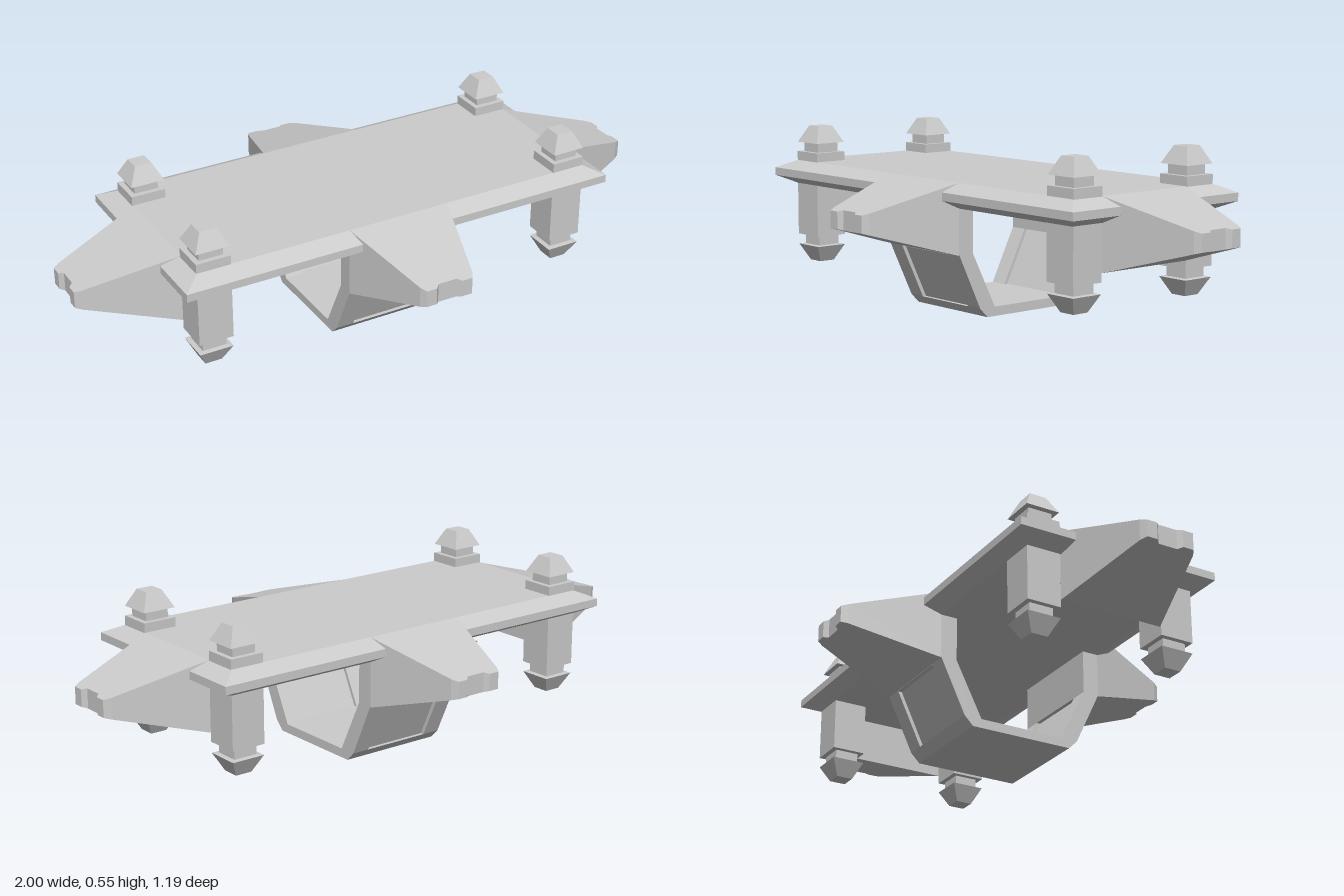
import * as THREE from 'three';

const material = new THREE.MeshStandardMaterial({ color: 0xcccccc, flatShading: true });

function addMesh(parent, name, geometry) {
  const mesh = new THREE.Mesh(geometry, material);
  mesh.name = name;
  parent.add(mesh);
  return mesh;
}

// Stack of rectangular rings [halfX, halfZ, y], from bottom to top, capped at both ends
function rectLoft(rings) {
  const positions = [];
  const index = [];
  for (const [hx, hz, y] of rings) {
    positions.push(-hx, y, hz, hx, y, hz, hx, y, -hz, -hx, y, -hz);
  }
  for (let r = 0; r < rings.length - 1; r++) {
    for (let i = 0; i < 4; i++) {
      const a = r * 4 + i;
      const b = r * 4 + ((i + 1) % 4);
      index.push(a, b, b + 4, a, b + 4, a + 4);
    }
  }
  const t = (rings.length - 1) * 4;
  index.push(0, 2, 1, 0, 3, 2, t, t + 1, t + 2, t, t + 2, t + 3);
  const indexed = new THREE.BufferGeometry();
  indexed.setAttribute('position', new THREE.Float32BufferAttribute(positions, 3));
  indexed.setIndex(index);
  const geometry = indexed.toNonIndexed();
  geometry.computeVertexNormals();
  return geometry;
}

// Outline given for one half only, closed by its mirror image
function mirroredShape(half) {
  const points = half.map(([x, y]) => new THREE.Vector2(x, y));
  const mirrored = half.map(([x, y]) => new THREE.Vector2(-x, y)).reverse();
  return new THREE.Shape([...points, ...mirrored]);
}

// Tapering arm pointing along +z, with a notched tip
function armGeometry(length) {
  const shape = mirroredShape([
    [0.175, 0], [0.092, length - 0.02], [0.08, length], [0.045, length], [0.032, length - 0.014],
  ]);
  const geometry = new THREE.ExtrudeGeometry(shape, { depth: 1, bevelEnabled: false });
  const p = geometry.attributes.position;
  for (let i = 0; i < p.count; i++) {
    const u = p.getY(i);
    const k = u / length;
    const top = THREE.MathUtils.lerp(0.435, 0.35, k);
    const bottom = THREE.MathUtils.lerp(0.207, 0.295, k);
    p.setXYZ(i, -p.getX(i), THREE.MathUtils.lerp(bottom, top, p.getZ(i)), u);
  }
  geometry.computeVertexNormals();
  return geometry;
}

// Slice of the landing loop, extruded across x
function loopSlice(half, width, x) {
  const geometry = new THREE.ExtrudeGeometry(mirroredShape(half), { depth: width, bevelEnabled: false });
  geometry.translate(0, 0, -width / 2);
  geometry.rotateY(Math.PI / 2);
  geometry.translate(x, 0, 0);
  return geometry;
}

export function createModel() {
  const model = new THREE.Group();
  model.name = 'platform';

  // Main deck with chamfered rim
  addMesh(model, 'deck', rectLoft([
    [0.69, 0.29, 0.355], [0.75, 0.345, 0.382], [0.75, 0.345, 0.408], [0.69, 0.29, 0.435],
  ]));

  // Four tapering arms
  for (let i = 0; i < 4; i++) {
    const alongX = i % 2 === 1;
    const holder = new THREE.Group();
    holder.name = ['frontArm', 'leftArm', 'backArm', 'rightArm'][i];
    holder.rotation.y = i * Math.PI / 2;
    const arm = addMesh(holder, 'arm', armGeometry(alongX ? 0.31 : 0.303));
    arm.position.z = alongX ? 0.69 : 0.29;
    model.add(holder);
  }

  // Corner posts with capped ends
  const postGeometry = rectLoft([
    [0.028, 0.028, 0.09], [0.056, 0.056, 0.145], [0.04, 0.04, 0.147], [0.04, 0.04, 0.18],
    [0.057, 0.057, 0.18], [0.057, 0.057, 0.465], [0.04, 0.04, 0.465], [0.04, 0.04, 0.495],
    [0.056, 0.056, 0.497], [0.028, 0.028, 0.553],
  ]);
  for (const sx of [-1, 1]) {
    for (const sz of [-1, 1]) {
      const name = (sz > 0 ? 'front' : 'back') + (sx > 0 ? 'Left' : 'Right') + 'Post';
      addMesh(model, name, postGeometry).position.set(sx * 0.636, 0, sz * 0.234);
    }
  }

  // Landing loop: full-thickness edges with a recessed panel between them
  const edge = [
    [0.175, 0], [0.205, 0.03], [0.29, 0.21], [0.29, 0.36],
    [0.235, 0.36], [0.235, 0.21], [0.145, 0.03],
  ];
  const panel = [
    [0.175, 0], [0.205, 0.03], [0.192, 0.03], [0.275, 0.206], [0.29, 0.206], [0.29, 0.36],
    [0.235, 0.36], [0.235, 0.21], [0.248, 0.21], [0.158, 0.03],
  ];
  const loop = new THREE.Group();
  loop.name = 'landingLoop';
  addMesh(loop, 'rightEdge', loopSlice(edge, 0.06, -0.145));
  addMesh(loop, 'leftEdge', loopSlice(edge, 0.06, 0.145));
  addMesh(loop, 'recessedPanel', loopSlice(panel, 0.23, 0));
  model.add(loop);

  return model;
}
